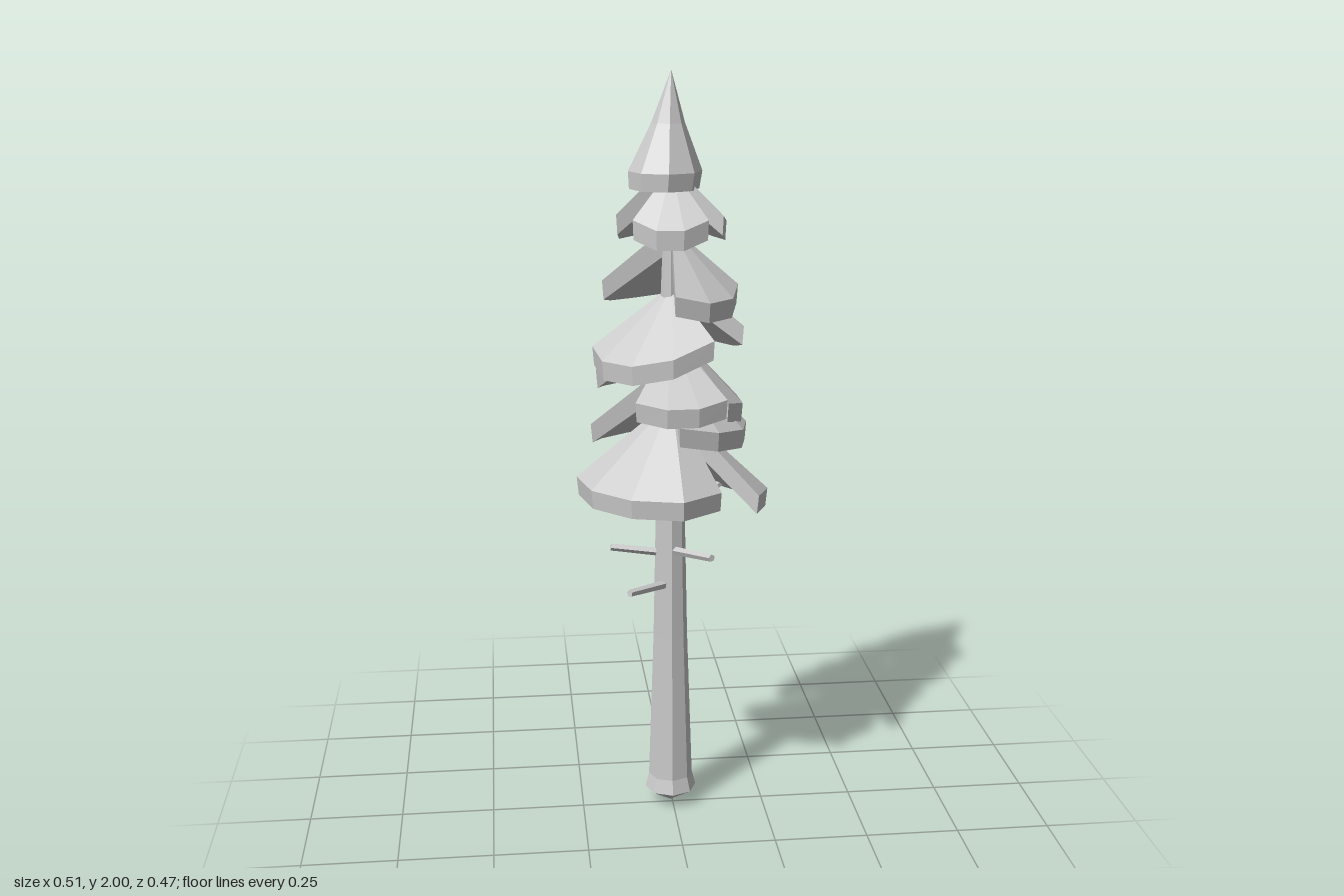
import * as THREE from 'three';

const material = new THREE.MeshStandardMaterial({ color: 0xcccccc, flatShading: true });
const AXIS_Z = -0.02;
const RIM = 0.05; // height of the blunt rim of each bough

// Solid conical sector: apex on the trunk, blunt rim with raised ends, parallel underside.
// "first" scales the radius of the starting corner, "tilt" lowers or lifts the far end.
function boughGeometry({ start, segs, step, r, rim, apex, tilt = 0, arch = 0.025, first = 1 }) {
  const pos = [];
  const tri = (...pts) => pts.forEach((p) => pos.push(...p));
  const quad = (a, b, c, d) => { tri(a, b, c); tri(a, c, d); };
  const top = [], low = [];
  for (let i = 0; i <= segs; i++) {
    const a = THREE.MathUtils.degToRad(start + i * step);
    const t = i / segs - 0.5;
    const y = rim + tilt * t + arch * 4 * t * t;
    const radius = i === 0 ? r * first : r;
    const x = radius * Math.cos(a), z = radius * Math.sin(a);
    top.push([x, y, z]);
    low.push([x * 0.98, y - RIM, z * 0.98]);
  }
  const peak = [0, apex, 0], under = [0, apex - 0.07, 0];
  for (let i = 0; i < segs; i++) {
    tri(peak, top[i + 1], top[i]);
    tri(under, low[i], low[i + 1]);
    quad(top[i], top[i + 1], low[i + 1], low[i]);
  }
  quad(peak, top[0], low[0], under);
  quad(peak, under, low[segs], top[segs]);
  const g = new THREE.BufferGeometry();
  g.setAttribute('position', new THREE.Float32BufferAttribute(pos, 3));
  g.computeVertexNormals();
  return g;
}

function lathe(points, sides) {
  return new THREE.LatheGeometry(points.map(([r, y]) => new THREE.Vector2(r, y)), sides);
}

export function createModel() {
  const model = new THREE.Group();
  model.name = 'conifer';
  const add = (geometry, name, parent = model) => {
    const mesh = new THREE.Mesh(geometry, material);
    mesh.name = name;
    parent.add(mesh);
    return mesh;
  };

  // Trunk with a flared foot and pointed underside
  const trunk = add(lathe([
    [0, 0], [0.07, 0.045], [0.06, 0.085], [0.046, 0.5], [0.039, 0.85], [0.03, 1.3], [0.008, 1.85],
  ], 8), 'trunk');
  trunk.position.set(-0.005, 0, -0.013);

  // Bare twigs below the crown
  const twigs = new THREE.Group();
  twigs.name = 'twigs';
  model.add(twigs);
  [
    [[-0.02, 0.652, 0.01], [-0.125, 0.667, 0.11]],
    [[-0.02, 0.735, -0.015], [-0.165, 0.755, -0.015]],
    [[0.0, 0.748, 0.01], [0.085, 0.775, 0.16]],
    [[0.015, 0.81, -0.03], [0.155, 0.87, -0.2]],
  ].forEach(([a, b]) => {
    const from = new THREE.Vector3(...a), to = new THREE.Vector3(...b);
    const dir = to.clone().sub(from);
    const twig = add(new THREE.CylinderGeometry(0.01, 0.012, dir.length(), 5), 'twig', twigs);
    twig.position.copy(from).addScaledVector(dir, 0.5);
    twig.quaternion.setFromUnitVectors(new THREE.Vector3(0, 1, 0), dir.normalize());
  });

  // Boughs, from the lowest tier up; angles run from +x towards +z
  const crown = new THREE.Group();
  crown.name = 'crown';
  crown.position.z = AXIS_Z;
  model.add(crown);
  [
    { start: -90, segs: 4, step: 31, r: 0.256, rim: 0.903, apex: 1.15, first: 0.75 },
    { start: 58, segs: 4, step: 31, r: 0.253, rim: 0.95, apex: 1.16, arch: 0, first: 0.82 },
    { start: 180, segs: 4, step: 30, r: 0.214, rim: 1.07, apex: 1.26 },
    { start: -3, segs: 3, step: 31, r: 0.2, rim: 1.1, apex: 1.28, tilt: 0.04, arch: 0.01 },
    { start: -48, segs: 3, step: 31, r: 0.187, rim: 1.15, apex: 1.35 },
    { start: 55, segs: 3, step: 22, r: 0.215, rim: 1.18, apex: 1.33, arch: 0.015 },
    { start: 176, segs: 4, step: 30, r: 0.2, rim: 1.22, apex: 1.41 },
    { start: -80, segs: 3, step: 30, r: 0.187, rim: 1.33, apex: 1.51 },
    { start: 65, segs: 4, step: 30, r: 0.207, rim: 1.285, apex: 1.46, tilt: -0.05, arch: 0.04 },
    { start: 180, segs: 4, step: 30, r: 0.18, rim: 1.45, apex: 1.62 },
    { start: 0, segs: 3, step: 31, r: 0.172, rim: 1.435, apex: 1.61 },
    { start: -67, segs: 3, step: 32, r: 0.142, rim: 1.62, apex: 1.77 },
    { start: 54, segs: 3, step: 29, r: 0.138, rim: 1.615, apex: 1.76 },
    { start: 172, segs: 3, step: 31, r: 0.145, rim: 1.62, apex: 1.78 },
  ].forEach((bough) => add(boughGeometry(bough), 'bough', crown));

  // Pointed treetop with a waisted profile; its rim sits a little left of the peak
  const treetop = lathe([[0, 1.76], [0.09, 1.705], [0.095, 1.75], [0.043, 1.87], [0, 2]], 8);
  const p = treetop.attributes.position;
  for (let i = 0; i < p.count; i++) {
    const y = p.getY(i);
    p.setX(i, p.getX(i) - 0.06 * (2 - y));
    p.setZ(i, p.getZ(i) - 0.014 - 0.01 * (2 - y));
  }
  add(treetop, 'treetop', crown);

  return model;
}
